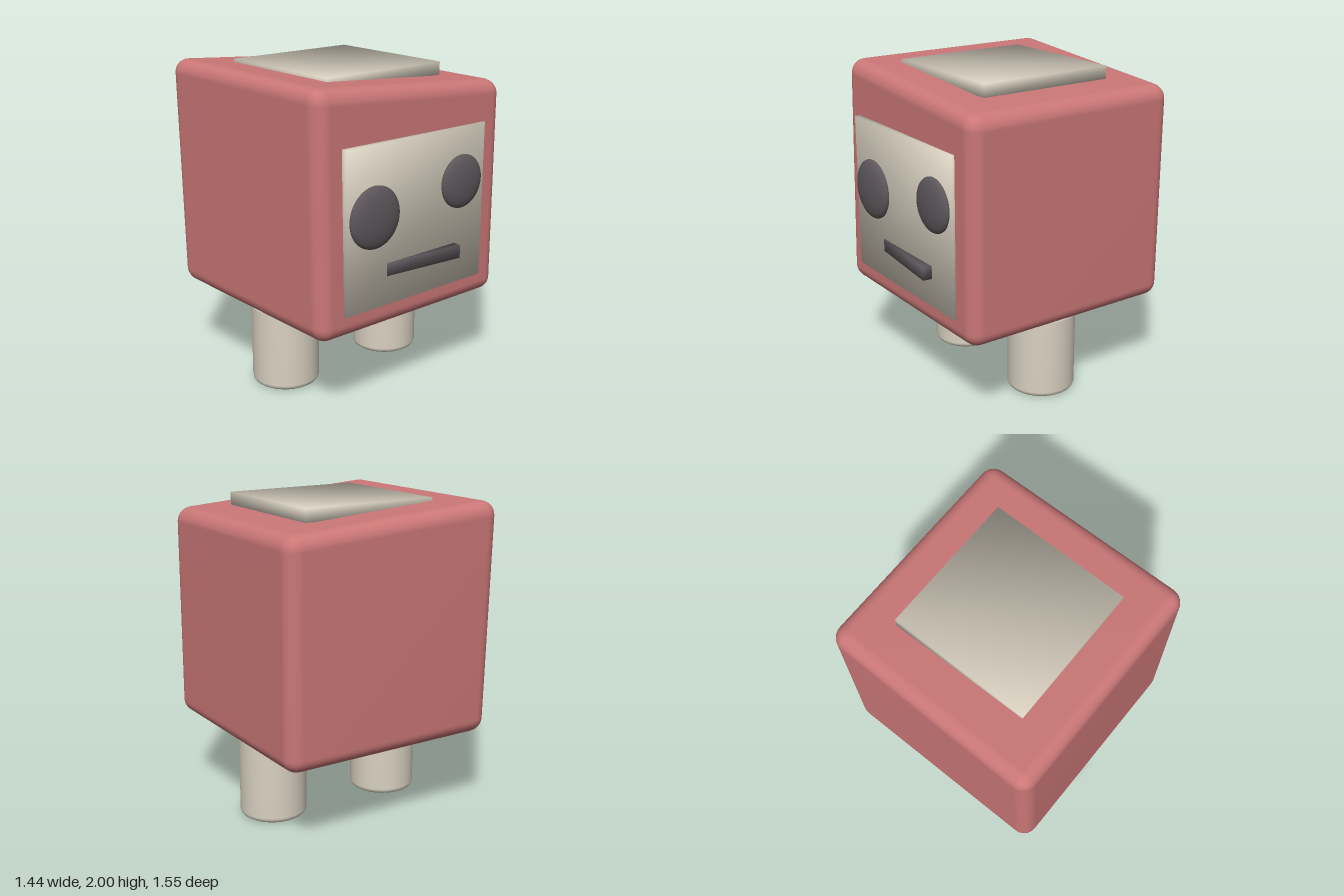
import * as THREE from 'three';
import { mergeVertices } from 'three/addons/utils/BufferGeometryUtils.js';
import { RoundedBoxGeometry } from 'three/addons/geometries/RoundedBoxGeometry.js';

const material = (name, color) => {
  const m = new THREE.MeshStandardMaterial({ color });
  m.name = name;
  return m;
};

// Box whose normals are shared at its eight corners, for soft shading
function softBox(w, h, d) {
  const g = new THREE.BoxGeometry(w, h, d);
  const p = g.attributes.position, n = g.attributes.normal, v = new THREE.Vector3();
  for (let i = 0; i < p.count; i++) {
    v.set(Math.sign(p.getX(i)), Math.sign(p.getY(i)), Math.sign(p.getZ(i))).normalize();
    n.setXYZ(i, v.x, v.y, v.z);
  }
  return g;
}

// Rounded cube, slightly skewed: sloping top, leaning back and front
function bodyGeometry() {
  let g = new RoundedBoxGeometry(1.44, 1.41, 1.43, 4, 0.09);
  g.deleteAttribute('normal');
  g.deleteAttribute('uv');
  g = mergeVertices(g, 1e-4);
  const p = g.attributes.position, mix = THREE.MathUtils.lerp;
  for (let i = 0; i < p.count; i++) {
    const u = p.getX(i) / 1.44 + 0.5, v = p.getY(i) / 1.41 + 0.5, w = p.getZ(i) / 1.43 + 0.5;
    const top = mix(2.0, 1.895, u);
    const back = mix(-0.74, mix(-0.782, -0.742, u), v);
    const front = mix(0.705, mix(0.67, 0.702, u), v);
    p.setY(i, mix(0.535, top, v));
    p.setZ(i, mix(back, front, w));
  }
  g.computeVertexNormals();
  return g;
}

// Cylinder with softly rounded rims
function legGeometry() {
  const r = 0.212, h = 0.54, b = 0.035, pts = [new THREE.Vector2(0, 0)];
  for (let i = 0; i <= 4; i++) {
    const a = (i / 4) * Math.PI / 2;
    pts.push(new THREE.Vector2(r - b + b * Math.sin(a), b - b * Math.cos(a)));
  }
  for (let i = 0; i <= 4; i++) {
    const a = (i / 4) * Math.PI / 2;
    pts.push(new THREE.Vector2(r - b + b * Math.cos(a), h - b + b * Math.sin(a)));
  }
  pts.push(new THREE.Vector2(0, h));
  return new THREE.LatheGeometry(pts, 32);
}

export function createModel() {
  const model = new THREE.Group();
  model.name = 'boxRobot';
  const red = material('dusty red', 0xcb7777);
  const cream = material('warm cream', 0xd9d1c1);
  const dark = material('charcoal', 0x5d575b);

  const add = (name, geometry, mat, x, y, z) => {
    const mesh = new THREE.Mesh(geometry, mat);
    mesh.name = name;
    mesh.position.set(x, y, z);
    model.add(mesh);
    return mesh;
  };

  add('body', bodyGeometry(), red, 0, 0, 0);

  // Legs
  const leg = legGeometry();
  add('leftLeg', leg, cream, 0.422, 0, -0.015);
  add('rightLeg', leg, cream, -0.427, 0, -0.015);

  // Level plate on the sloping top, and the face plate
  add('topPlate', softBox(0.895, 0.08, 0.895), cream, -0.003, 1.96, -0.018);
  add('facePlate', softBox(1.106, 0.98, 0.05), cream, 0, 1.17, 0.692);

  // Flattened domed eyes, mismatched in size and height
  const eye = new THREE.SphereGeometry(1, 40, 24);
  add('rightEye', eye, dark, -0.342, 1.238, 0.722).scale.set(0.187, 0.187, 0.052);
  add('leftEye', eye, dark, 0.358, 1.324, 0.722).scale.set(0.166, 0.166, 0.046);

  // Mouth bar, turned so its left end stands out
  add('mouth', softBox(0.555, 0.08, 0.06), dark, 0.04, 0.898, 0.716).rotation.y = -0.1;

  return model;
}
